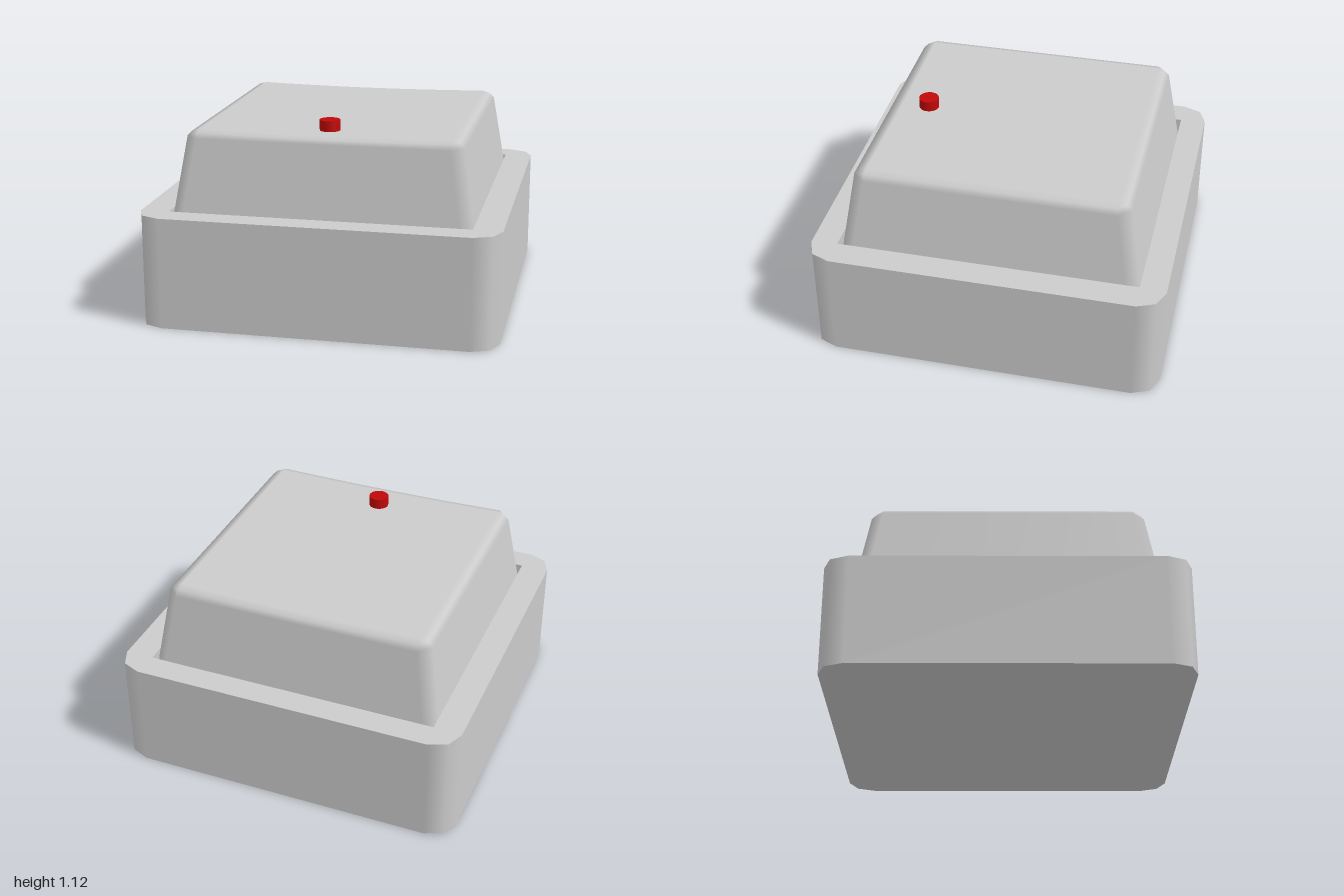
import * as THREE from 'three';
import { mergeGeometries } from 'three/addons/utils/BufferGeometryUtils.js';

// Points of a rectangle with rounded corners: n segments per corner, m per side.
// Each point carries its outward direction, so flat sides stay flat-shaded.
function ring(hx, hz, c, n, m = 1) {
  const pts = [];
  for (let q = 0; q < 4; q++) {
    const sx = q === 0 || q === 3 ? 1 : -1, sz = q < 2 ? 1 : -1;
    for (let i = 0; i <= n; i++) {
      const a = (q + i / n) * Math.PI / 2, dx = Math.cos(a), dz = Math.sin(a);
      pts.push({ x: sx * (hx - c) + c * dx, z: sz * (hz - c) + c * dz, dx, dz });
    }
  }
  const out = [];
  pts.forEach((p, k) => {
    out.push(p);
    if (k % (n + 1) !== n) return;
    const e = pts[(k + 1) % pts.length];
    for (let j = 1; j < m; j++) {
      const t = j / m;
      out.push({ x: p.x + (e.x - p.x) * t, z: p.z + (e.z - p.z) * t, dx: p.dx, dz: p.dz });
    }
  });
  return out;
}

// Skin over stacked rings; each row gives size, height and normal (nr outward, ny up).
function loft(rows, n, m = 1) {
  const pos = [], nor = [], idx = [];
  let count = 0;
  rows.forEach(({ hx, hz = hx, c, y, nr = 1, ny = 0 }, r) => {
    const pts = ring(hx, hz, c, n, m), l = Math.hypot(nr, ny);
    count = pts.length;
    pts.forEach((p, i) => {
      pos.push(p.x, y, p.z);
      nor.push(p.dx * nr / l, ny / l, p.dz * nr / l);
      if (r === rows.length - 1) return;
      const a = r * count + i, b = r * count + (i + 1) % count;
      idx.push(a, a + count, b, b, a + count, b + count);
    });
  });
  const g = new THREE.BufferGeometry();
  g.setAttribute('position', new THREE.Float32BufferAttribute(pos, 3));
  g.setAttribute('normal', new THREE.Float32BufferAttribute(nor, 3));
  g.setIndex(idx);
  return g;
}

const outline = (pts) => pts.map((p) => new THREE.Vector2(p.x, p.z));

// Square housing with a rounded outside and a square opening
function frameGeometry() {
  const H = 0.63, hole = { hx: 0.84, hz: 0.852, c: 0, nr: -1 };
  const outer = outline(ring(1, 1, 0.145, 2));
  const rim = new THREE.Shape(outer);
  rim.holes.push(new THREE.Path([[1, 1], [-1, 1], [-1, -1], [1, -1]]
    .map(([x, z]) => new THREE.Vector2(x * hole.hx, z * hole.hz))));
  const top = new THREE.ShapeGeometry(rim).rotateX(-Math.PI / 2).translate(0, H, 0);
  const bottom = new THREE.ShapeGeometry(new THREE.Shape(outer)).rotateX(Math.PI / 2);
  top.deleteAttribute('uv');
  bottom.deleteAttribute('uv');
  return mergeGeometries([
    loft([{ hx: 1, c: 0.145, y: 0 }, { hx: 1, c: 0.145, y: H }], 2),
    loft([{ ...hole, y: H }, { ...hole, y: 0.38 }], 1),
    top, bottom,
  ]);
}

// Tapered key cap with bevelled edges and a top slightly dished across its width
function capGeometry() {
  const m = 12, half = 0.7, topY = 1.07;
  const sides = loft([
    { hx: 0.875, c: 0.07, y: 0.38, ny: 0.16 },
    { hx: 0.77, c: 0.07, y: 1.03, ny: 0.16 },
    { hx: 0.742, c: 0.042, y: 1.058, ny: 1 },
    { hx: half, c: 0, y: topY, nr: 0, ny: 1 },
  ], 1, m);
  const top = new THREE.PlaneGeometry(2 * half, 2 * half, m, m)
    .rotateX(-Math.PI / 2).translate(0, topY, 0);
  top.deleteAttribute('uv');
  const g = mergeGeometries([sides, top]), p = g.attributes.position;
  for (let i = 0; i < p.count; i++) {
    if (p.getY(i) < 1.04) continue;
    const t = Math.min(1, Math.abs(p.getX(i)) / half);
    p.setY(i, p.getY(i) - 0.01 * (1 - t * t));
  }
  return g;
}

export function createModel() {
  const model = new THREE.Group();
  model.name = 'pushButton';
  const add = (name, geometry, color) => {
    const mesh = new THREE.Mesh(geometry, new THREE.MeshStandardMaterial({ color }));
    mesh.name = name;
    model.add(mesh);
    return mesh;
  };
  add('frame', frameGeometry(), 0xcccccc);
  add('keyCap', capGeometry(), 0xcccccc);
  // Small red lamp near the front edge
  add('indicatorLamp', new THREE.CylinderGeometry(0.057, 0.057, 0.08, 32), 0xc00808)
    .position.set(0, 1.08, 0.54);
  return model;
}
